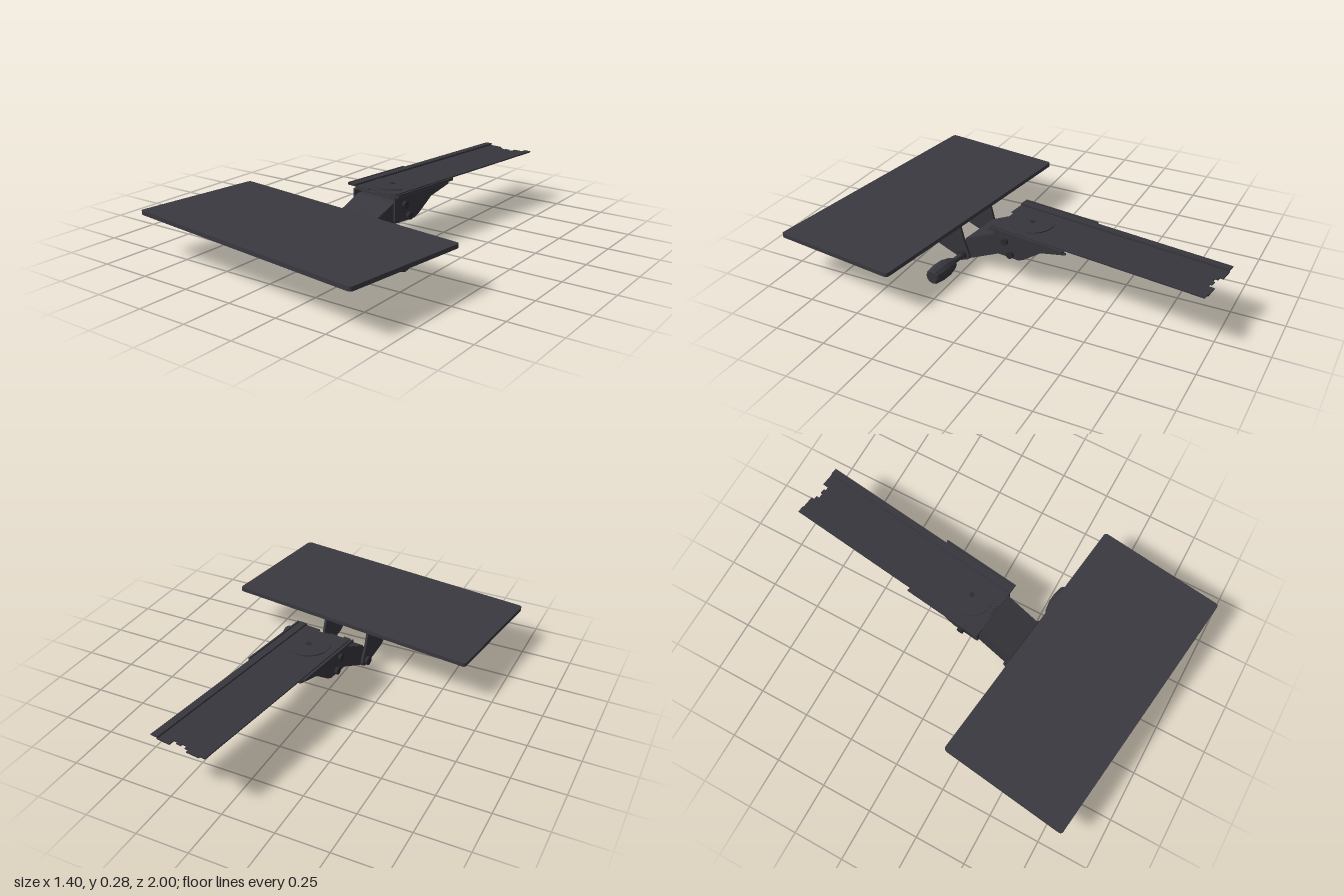
import * as THREE from 'three';

const trayMat = new THREE.MeshStandardMaterial({ name: 'trayCharcoal', color: 0x3a3940 });
const metalMat = new THREE.MeshStandardMaterial({ name: 'metalCharcoal', color: 0x37363c });
const darkMat = new THREE.MeshStandardMaterial({ name: 'darkHardware', color: 0x2c2c31 });

export function createModel() {
  const model = new THREE.Group();
  model.name = 'keyboardTrayArm';
  // The whole assembly is swung slightly about the vertical axis
  const body = new THREE.Group();
  body.name = 'assembly';
  body.rotation.y = -0.128;
  body.position.set(0.074, 0, 0.01);
  model.add(body);

  const add = (name, geo, mat) => {
    const m = new THREE.Mesh(geo, mat);
    m.name = name;
    body.add(m);
    return m;
  };
  const toShape = pts => new THREE.Shape(pts.map(p => new THREE.Vector2(p[0], p[1])));
  const box = (name, w, h, d, x, y, z, mat = metalMat) =>
    add(name, new THREE.BoxGeometry(w, h, d).translate(x, y, z), mat);
  // Outline in (z, y), thickness along x, centred on x
  const sidePlate = (name, shape, x, t, mat = metalMat) =>
    add(name, new THREE.ExtrudeGeometry(shape, { depth: t, bevelEnabled: false })
      .rotateY(-Math.PI / 2).translate(x + t / 2, 0, 0), mat);
  // Outline in (x, z), thickness downwards from y
  const flatPlate = (name, shape, y, t, mat = metalMat) =>
    add(name, new THREE.ExtrudeGeometry(shape, { depth: t, bevelEnabled: false, curveSegments: 6 })
      .rotateX(Math.PI / 2).translate(0, y, 0), mat);
  // Cylinder lying along x
  const rod = (name, r, x0, x1, y, z, mat = metalMat, n = 16) =>
    add(name, new THREE.CylinderGeometry(r, r, x1 - x0, n)
      .rotateZ(-Math.PI / 2).translate((x0 + x1) / 2, y, z), mat);

  // Tray: thin board with rounded corners
  const [hw, z0, z1, r] = [0.665, 0.265, 0.91, 0.018];
  const tray = new THREE.Shape();
  tray.moveTo(-hw + r, z0);
  tray.lineTo(hw - r, z0);
  tray.quadraticCurveTo(hw, z0, hw, z0 + r);
  tray.lineTo(hw, z1 - r);
  tray.quadraticCurveTo(hw, z1, hw - r, z1);
  tray.lineTo(-hw + r, z1);
  tray.quadraticCurveTo(-hw, z1, -hw, z1 - r);
  tray.lineTo(-hw, z0 + r);
  tray.quadraticCurveTo(-hw, z0, -hw + r, z0);
  flatPlate('tray', tray, 0.221, 0.02, trayMat);

  // Rail: sunken web with notched ends, raised lips along both edges
  flatPlate('railWeb', toShape([
    [-0.11, -1], [-0.045, -1], [-0.045, -0.985], [-0.025, -0.985], [-0.025, -0.97], [0.0, -0.97],
    [0.0, -0.98], [0.025, -0.98], [0.025, -0.97], [0.045, -0.97], [0.045, -1], [0.11, -1],
    [0.11, 0.08], [0.03, 0.08], [0.03, 0.065], [-0.03, 0.065], [-0.03, 0.08], [-0.11, 0.08],
  ]), 0.268, 0.006);
  for (const s of [-1, 1]) {
    box('railLip', 0.035, 0.006, 1.08, s * 0.1275, 0.274, -0.46);
    box('railStep', 0.004, 0.012, 1.08, s * 0.111, 0.27, -0.46);
    box('sliderFlange', 0.05, 0.006, 0.4, s * 0.135, 0.267, -0.12);
    box('sliderEdge', 0.008, 0.012, 0.4, s * 0.157, 0.27, -0.12);
  }

  // Swivel disc and its pin
  add('swivelDisc', new THREE.CylinderGeometry(0.105, 0.105, 0.005, 40).translate(0, 0.27, -0.06), metalMat);
  add('swivelPin', new THREE.CylinderGeometry(0.013, 0.013, 0.006, 16).translate(0, 0.272, -0.06), darkMat);
  add('swivelHub', new THREE.CylinderGeometry(0.06, 0.06, 0.016, 24).translate(0, 0.254, -0.06), darkMat);

  // Upper bracket: top plate with two tapered cheeks and bolts
  flatPlate('upperBracketTop', toShape([
    [-0.125, 0.07], [0.125, 0.07], [0.125, -0.18], [0.09, -0.31], [-0.09, -0.31], [-0.125, -0.18],
  ]), 0.254, 0.008);
  const cheek = toShape([
    [0.07, 0.25], [0.07, 0.14], [0.06, 0.13], [-0.07, 0.13], [-0.1, 0.145],
    [-0.19, 0.21], [-0.32, 0.242], [-0.32, 0.25],
  ]);
  for (const s of [-1, 1]) {
    sidePlate('upperBracketCheek', cheek, s * 0.128, 0.01);
    for (const [y, z] of [[0.21, 0.005], [0.15, -0.025]]) {
      const a = s * 0.13, b = s * 0.148;
      rod('cheekBolt', 0.018, Math.min(a, b), Math.max(a, b), y, z, darkMat, 12);
    }
  }
  rod('upperPivot', 0.012, -0.13, 0.13, 0.21, 0.005, darkMat);
  rod('lowerPivot', 0.01, -0.13, 0.13, 0.15, -0.025, darkMat);

  // Lift arm: sloping cover with open underside
  const armSide = toShape([
    [0.275, 0.06], [0.25, 0.135], [0.06, 0.226], [-0.03, 0.235],
    [-0.03, 0.15], [0, 0.145], [0.225, 0.035], [0.265, 0.032],
  ]);
  for (const s of [-1, 1]) sidePlate('armSide', armSide, s * 0.111, 0.008);
  sidePlate('armCover', toShape([
    [0.275, 0.06], [0.25, 0.137], [0.06, 0.228], [-0.03, 0.237],
    [-0.03, 0.229], [0.058, 0.22], [0.243, 0.131], [0.267, 0.06],
  ]), 0, 0.222);

  // Tray brackets: curved legs, mounting flanges and screws
  const leg = new THREE.Shape();
  leg.moveTo(0.27, 0.202);
  leg.lineTo(0.25, 0.13);
  leg.lineTo(0.225, 0.07);
  leg.quadraticCurveTo(0.21, 0.025, 0.26, 0.025);
  leg.lineTo(0.31, 0.04);
  leg.lineTo(0.4, 0.068);
  leg.quadraticCurveTo(0.44, 0.09, 0.45, 0.13);
  leg.quadraticCurveTo(0.47, 0.175, 0.52, 0.178);
  leg.lineTo(0.59, 0.182);
  leg.lineTo(0.59, 0.202);
  for (const s of [-1, 1]) {
    sidePlate('trayBracketLeg', leg, s * 0.124, 0.012);
    flatPlate('trayBracketFlange', toShape([
      [s * 0.118, 0.3], [s * 0.19, 0.32], [s * 0.2, 0.38], [s * 0.15, 0.45],
      [s * 0.2, 0.52], [s * 0.19, 0.58], [s * 0.118, 0.59],
    ]), 0.202, 0.008);
    for (const z of [0.355, 0.55]) {
      add('flangeScrew', new THREE.CylinderGeometry(0.014, 0.014, 0.01, 12)
        .translate(s * 0.165, 0.19, z), darkMat);
    }
    const a = s * 0.128, b = s * 0.145;
    rod('hingeCap', 0.022, Math.min(a, b), Math.max(a, b), 0.05, 0.26, darkMat);
  }
  rod('hingeRod', 0.014, -0.13, 0.21, 0.05, 0.26);
  rod('tieRod', 0.007, -0.125, 0.125, 0.082, 0.285);

  // Clamp knob: faceted grip on the left end of the hinge rod
  const knobMat = metalMat.clone();
  knobMat.name = 'knobCharcoal';
  knobMat.flatShading = true;
  const profile = [[0, 0], [0.026, 0], [0.03, 0.008], [0.043, 0.06], [0.044, 0.1], [0.037, 0.15], [0.03, 0.158], [0, 0.158]];
  add('clampKnob', new THREE.LatheGeometry(profile.map(p => new THREE.Vector2(p[0], p[1])), 12)
    .rotateZ(-Math.PI / 2).translate(0.212, 0.046, 0.26), knobMat);

  return model;
}
